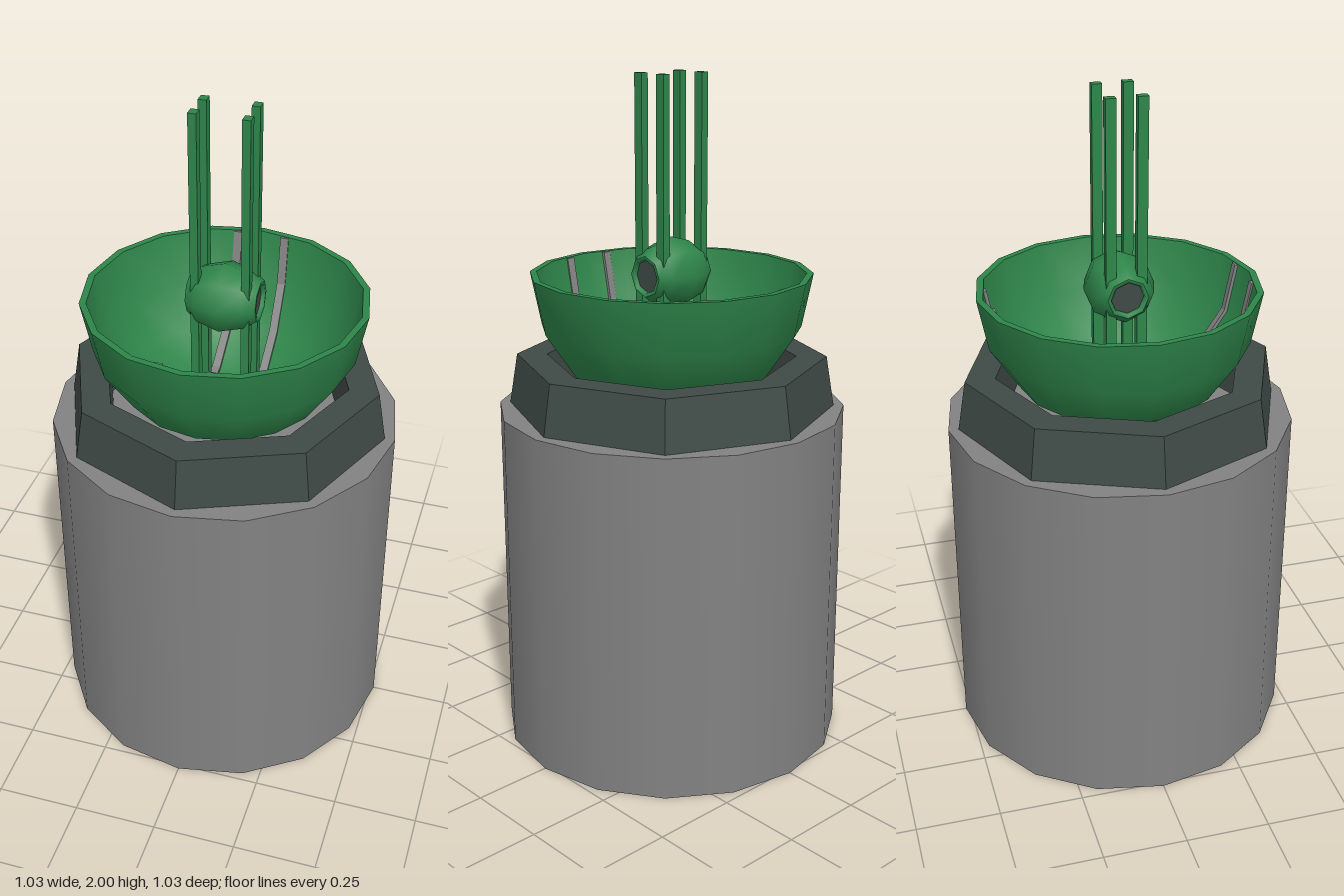
import * as THREE from 'three';

export function createModel() {
  const model = new THREE.Group();
  const material = (name, color, extra = {}) =>
    Object.assign(new THREE.MeshStandardMaterial({ color, ...extra }), { name });
  const grey = material('grey', 0x828282, { side: THREE.DoubleSide });
  const green = material('green', 0x2e854a);
  const dark = material('dark grey', 0x3f4a46, { flatShading: true });

  const add = (name, geometry, mat, parent = model) => {
    const mesh = new THREE.Mesh(geometry, mat);
    mesh.name = name;
    parent.add(mesh);
    return mesh;
  };
  const lathe = (points, sides) =>
    new THREE.LatheGeometry(points.map(([r, y]) => new THREE.Vector2(r, y)), sides);

  // Drum: smooth wall, open underneath, flat lid
  const bodyHeight = 1.03, bodyRadius = 0.515;
  add('drumWall', new THREE.CylinderGeometry(bodyRadius, bodyRadius, bodyHeight, 16, 1, true), grey)
    .position.y = bodyHeight / 2;
  add('drumLid', new THREE.CircleGeometry(bodyRadius, 16).rotateX(-Math.PI / 2), grey)
    .position.y = bodyHeight;

  // Octagonal collar with a central opening
  add('collar', lathe([[0.485, 1.03], [0.46, 1.18], [0.37, 1.18], [0.36, 1.03]], 8).toNonIndexed(), dark);

  // Hemispherical bowl: outer shell, rim, inner shell
  const rimY = 1.43, outer = 0.415, inner = 0.395;
  const arc = (radius) => Array.from({ length: 5 }, (_, i) => {
    const a = i * Math.PI / 8;
    return [radius * Math.sin(a), rimY - radius * Math.cos(a)];
  });
  const bowl = new THREE.Group();
  bowl.name = 'bowl';
  model.add(bowl);
  add('bowlOutside', lathe(arc(outer), 16), green, bowl);
  add('bowlRim', lathe([[outer, rimY], [inner, rimY]], 16), green, bowl);
  add('bowlInside', lathe(arc(inner).reverse(), 16), green, bowl);

  // Curved rails running front to back inside the bowl
  const railArc = (radius) => Array.from({ length: 9 }, (_, i) => {
    const a = (i - 4) * Math.PI / 8;
    return new THREE.Vector2(radius * Math.sin(a), -radius * Math.cos(a));
  });
  const railShape = new THREE.Shape([...railArc(0.383), ...railArc(0.373).reverse()]);
  const railGeometry = new THREE.ExtrudeGeometry(railShape, { depth: 0.025, bevelEnabled: false })
    .translate(0, 0, -0.0125).rotateY(Math.PI / 2);

  // Ball on a sideways axis, with recessed ends
  const ballProfile = [[0.06, -0.103], [0.085, -0.07], [0.105, 0], [0.085, 0.07], [0.06, 0.103]];
  const ball = new THREE.Group();
  ball.name = 'ball';
  ball.position.y = rimY;
  model.add(ball);
  add('ballShell', lathe(ballProfile, 8).rotateZ(-Math.PI / 2), green, ball);

  for (const side of [-1, 1]) {
    add('rail', railGeometry, grey).position.set(side * 0.073, rimY - 0.002, 0);

    const socket = lathe([[0.06, 0.103], [0.05, 0.103], [0.048, 0.09]], 8).rotateZ(-side * Math.PI / 2);
    add('ballEndRing', socket, green, ball);
    add('ballEndDisc', new THREE.CircleGeometry(0.05, 8).rotateY(side * Math.PI / 2), dark, ball)
      .position.x = side * 0.091;

    // Upright rods through the ball
    for (const end of [-1, 1]) {
      add('rod', new THREE.BoxGeometry(0.024, 0.94, 0.03), green)
        .position.set(side * 0.074, 1.53, end * 0.045);
    }
  }
  return model;
}
